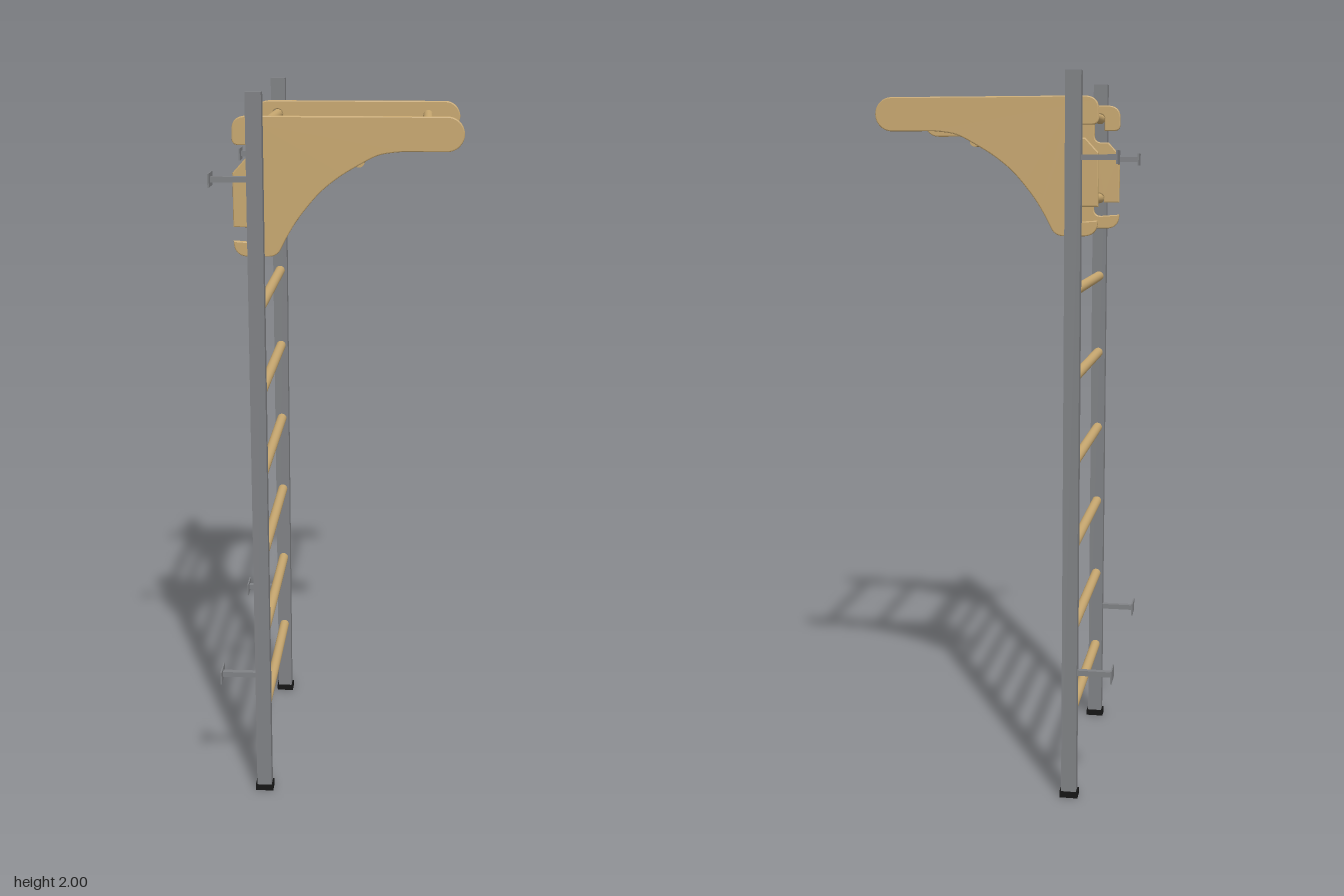
import * as THREE from 'three';

const wood = new THREE.MeshStandardMaterial({ color: 0xc8a870 });
const steel = new THREE.MeshStandardMaterial({ color: 0x808285 });
const rubber = new THREE.MeshStandardMaterial({ color: 0x151515 });

const POST_X = -0.2125, POST_Z = 0.323, PLATE_Z = 0.29, BAR_R = 0.0145;
const TOP_RUNG = 1.897, RUNG_STEP = 0.2367, HOOK_RUNG = TOP_RUNG - RUNG_STEP;

function add(parent, name, geometry, material, x, y, z) {
  const mesh = new THREE.Mesh(geometry, material);
  mesh.name = name;
  mesh.position.set(x, y, z);
  parent.add(mesh);
  return mesh;
}

// Round wooden bar running across the ladder
function bar(parent, name, x, y, length) {
  const geometry = new THREE.CylinderGeometry(BAR_R, BAR_R, length, 20).rotateX(Math.PI / 2);
  return add(parent, name, geometry, wood, x, y, 0);
}

// Side plate: arm on top, concave arch below, two hook slots at the back
function sidePlateGeometry() {
  const s = new THREE.Shape();
  const back = -0.275, slotL = POST_X - 0.015, slotR = POST_X + 0.015;
  s.moveTo(0.285, 1.937);
  s.lineTo(-0.235, 1.937);
  s.quadraticCurveTo(back, 1.937, back, 1.9);
  s.lineTo(back, 1.88);
  s.quadraticCurveTo(back, 1.862, -0.257, 1.862);
  // upper slot
  s.lineTo(slotL, 1.862);
  s.lineTo(slotL, TOP_RUNG);
  s.absarc(POST_X, TOP_RUNG, 0.015, Math.PI, 0, true);
  s.lineTo(slotR, 1.85);
  s.quadraticCurveTo(slotR, 1.828, -0.22, 1.828);
  s.lineTo(-0.24, 1.828);
  s.lineTo(back, 1.79);
  s.lineTo(back, 1.648);
  // lower slot
  s.lineTo(slotL, 1.648);
  s.lineTo(slotL, HOOK_RUNG);
  s.absarc(POST_X, HOOK_RUNG, 0.015, Math.PI, 0, true);
  s.lineTo(slotR, 1.63);
  s.quadraticCurveTo(slotR, 1.608, -0.22, 1.608);
  s.lineTo(back, 1.612);
  s.quadraticCurveTo(back, 1.57, -0.235, 1.57);
  s.lineTo(-0.185, 1.57);
  s.quadraticCurveTo(-0.16, 1.57, -0.15, 1.59);
  // arch
  s.splineThru([
    [-0.13, 1.628], [-0.1, 1.675], [-0.05, 1.735], [0, 1.777],
    [0.057, 1.812], [0.11, 1.838], [0.17, 1.847],
  ].map(([x, y]) => new THREE.Vector2(x, y)));
  s.lineTo(0.285, 1.847);
  s.absarc(0.285, 1.892, 0.045, -Math.PI / 2, Math.PI / 2, false);
  return new THREE.ExtrudeGeometry(s, {
    depth: 0.007, curveSegments: 14, bevelEnabled: true,
    bevelThickness: 0.003, bevelSize: 0.003, bevelOffset: -0.003, bevelSegments: 2,
  }).translate(0, 0, -0.0035);
}

export function createModel() {
  const model = new THREE.Group();
  model.name = 'wallBarsWithPullUpFrame';

  // Uprights with feet and wall brackets
  for (const side of [-1, 1]) {
    const upright = new THREE.Group();
    upright.name = side > 0 ? 'leftUpright' : 'rightUpright';
    upright.position.z = side * POST_Z;
    model.add(upright);
    add(upright, 'post', new THREE.BoxGeometry(0.042, 1.99, 0.035), steel, POST_X, 1.005, 0);
    add(upright, 'footCap', new THREE.BoxGeometry(0.051, 0.018, 0.039), rubber, POST_X, 0.009, 0);
    for (const y of [0.365, 1.777]) {
      add(upright, 'bracketArm', new THREE.BoxGeometry(0.1, 0.015, 0.016), steel, -0.28, y, 0);
      add(upright, 'bracketFlange', new THREE.BoxGeometry(0.004, 0.036, 0.07), steel, -0.33, y, 0);
    }
  }

  // Ladder rungs
  for (let i = 0; i < 8; i++) {
    bar(model, 'rung', POST_X, TOP_RUNG - i * RUNG_STEP, 0.616);
  }

  // Hook-on pull-up frame
  const frame = new THREE.Group();
  frame.name = 'pullUpFrame';
  model.add(frame);
  const plate = sidePlateGeometry();
  for (const side of [-1, 1]) {
    add(frame, side > 0 ? 'leftSidePlate' : 'rightSidePlate', plate, wood, 0, 0, side * PLATE_Z);
  }
  for (const [x, y] of [[0.235, 1.897], [0.057, 1.82], [-0.102, 1.702]]) {
    bar(frame, 'gripBar', x, y, 2 * PLATE_Z);
  }
  return model;
}
